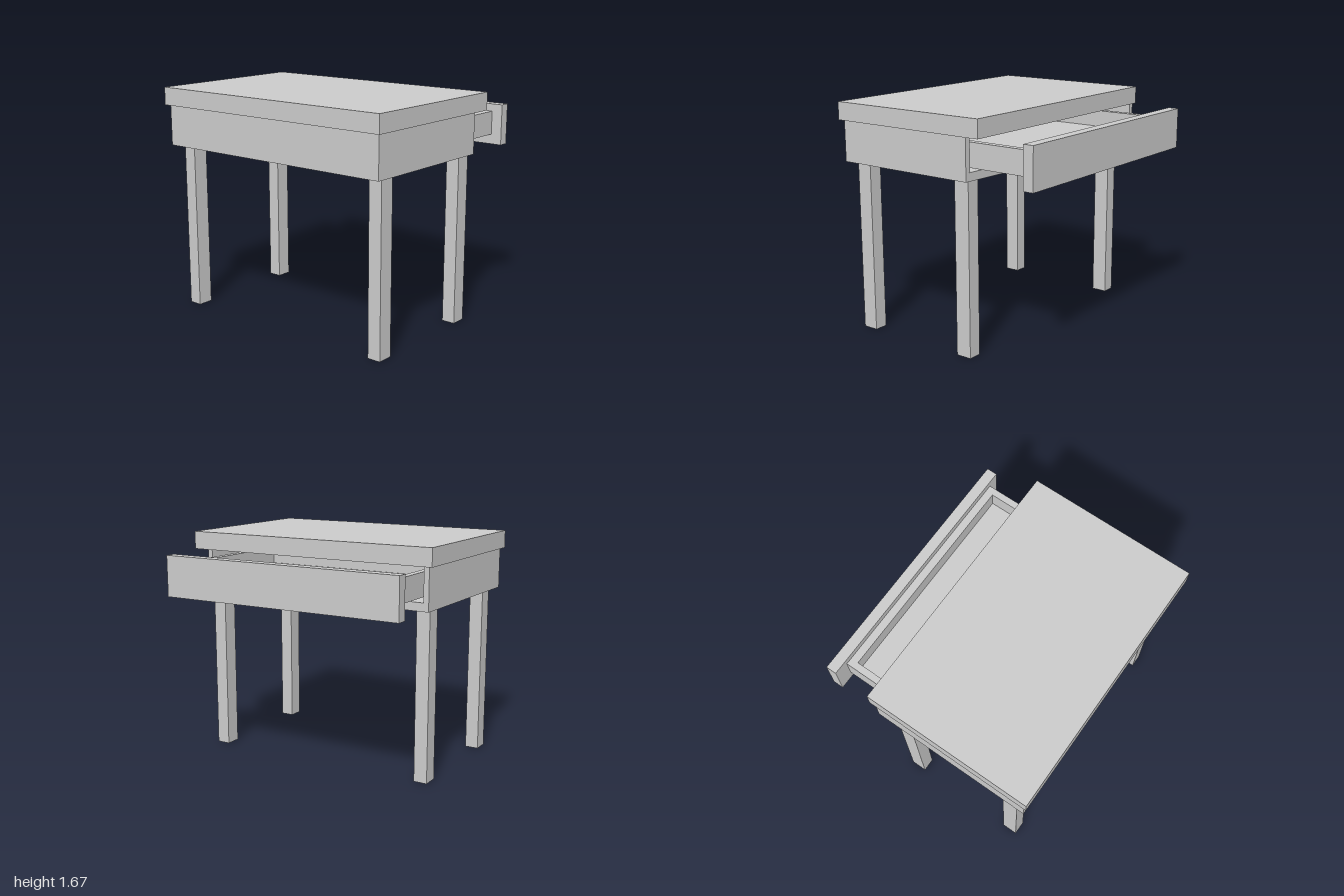
import * as THREE from 'three';

const material = new THREE.MeshStandardMaterial({ color: 0xcccccc, flatShading: true });

// Box given by its limits on each axis
function box(name, x0, x1, y0, y1, z0, z1) {
  const mesh = new THREE.Mesh(new THREE.BoxGeometry(x1 - x0, y1 - y0, z1 - z0), material);
  mesh.position.set((x0 + x1) / 2, (y0 + y1) / 2, (z0 + z1) / 2);
  mesh.name = name;
  return mesh;
}

// Upright prism from a plan outline of [x, z] corners
function prism(name, plan, y0, y1) {
  const shape = new THREE.Shape(plan.map(([x, z]) => new THREE.Vector2(x, z)));
  const geometry = new THREE.ExtrudeGeometry(shape, { depth: y1 - y0, bevelEnabled: false });
  geometry.rotateX(Math.PI / 2);
  const mesh = new THREE.Mesh(geometry, material);
  mesh.position.y = y1;
  mesh.name = name;
  return mesh;
}

export function createModel() {
  const model = new THREE.Group();
  model.name = 'deskWithDrawer';

  // The whole desk stands turned slightly about the vertical
  const desk = new THREE.Group();
  desk.name = 'desk';
  desk.position.x = -0.197;
  desk.rotation.y = -0.0286;
  model.add(desk);

  desk.add(box('tabletop', -0.63, 0.63, 1.54, 1.67, -0.98, 0.98));

  // Case: floor and three walls, open on the drawer side, with a slanting mouth
  const left = -0.6, front = 0.955, wall = 0.04;
  const frontEnd = 0.51, backEnd = 0.617;
  desk.add(prism('caseFloor', [
    [left, -front], [backEnd, -front], [frontEnd, front], [left, front],
  ], 1.24, 1.3));
  desk.add(prism('caseWalls', [
    [left, -front], [backEnd, -front], [backEnd - 0.002, -front + wall], [left + wall, -front + wall],
    [left + wall, front - wall], [frontEnd + 0.002, front - wall], [frontEnd, front], [left, front],
  ], 1.3, 1.54));

  // Four square legs
  for (const sx of [-1, 1]) {
    for (const sz of [-1, 1]) {
      const x = -0.01 + sx * 0.4475, z = 0.004 + sz * 0.8625;
      desk.add(box('leg', x - 0.0585, x + 0.0585, 0, 1.24, z - 0.05, z + 0.05));
    }
  }

  // Open drawer: tray and front panel
  const drawer = new THREE.Group();
  drawer.name = 'drawer';
  const x0 = -0.17, x1 = 0.943, half = 0.84, t = 0.05, y0 = 1.31, y1 = 1.483;
  drawer.add(box('drawerBottom', x0, x1, y0, y0 + t, -half, half));
  for (const s of [-1, 1]) {
    const z = s * (half - t / 2);
    drawer.add(box('drawerSide', x0, x1, y0 + t, y1, z - t / 2, z + t / 2));
  }
  drawer.add(box('drawerInnerFront', x1 - 0.057, x1, y0 + t, y1, -half + t, half - t));
  drawer.add(box('drawerBack', x0, x0 + t, y0 + t, y1, -half + t, half - t));
  drawer.add(box('drawerFrontPanel', x1, x1 + 0.078, 1.237, 1.537, -0.948, 0.922));
  desk.add(drawer);

  return model;
}
